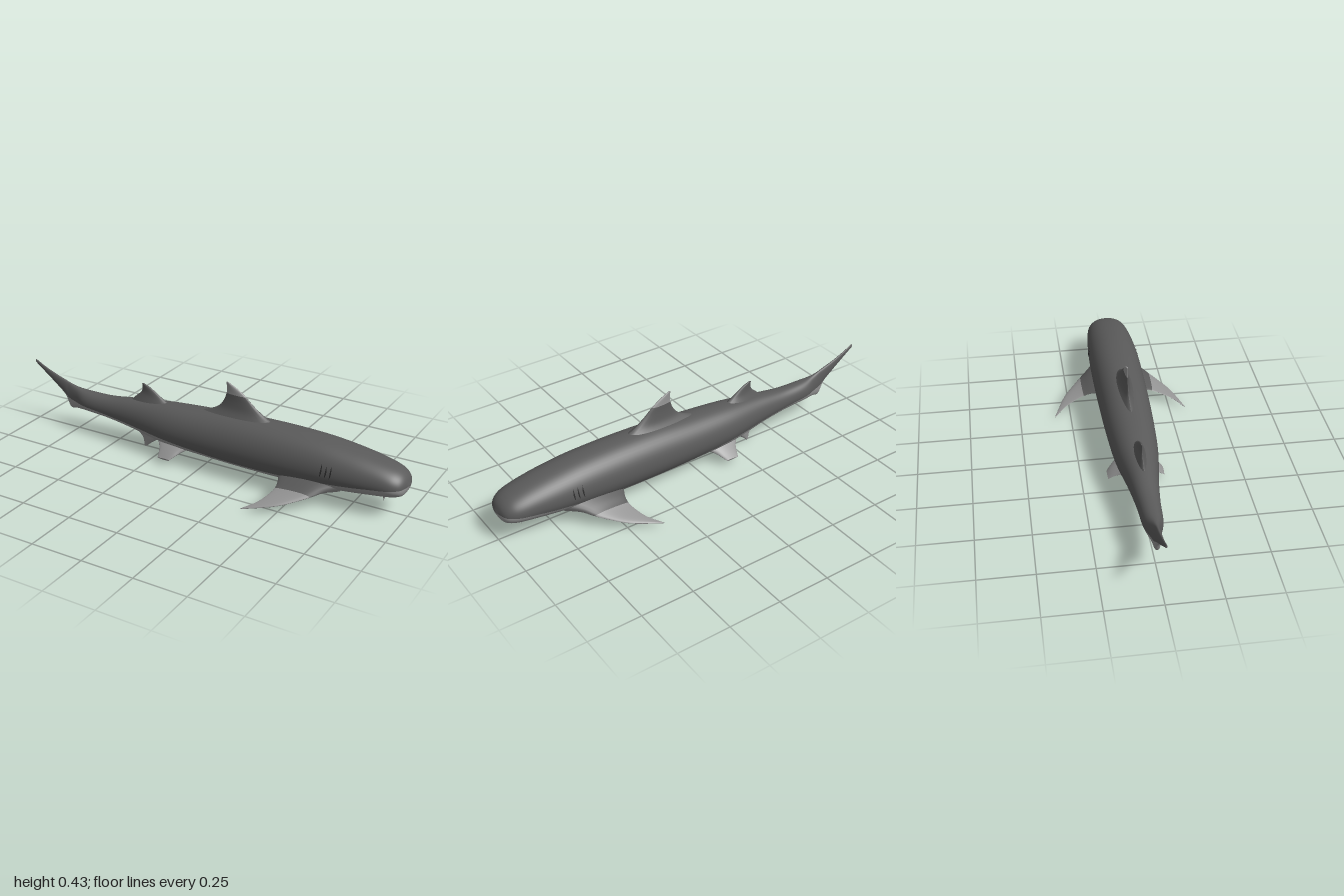
import * as THREE from 'three';

const paint = (name, color) => new THREE.MeshStandardMaterial({ name, color, side: THREE.DoubleSide });

// Catmull-Rom through rows of numbers, giving one interpolating function
function track(rows) {
  const groups = [];
  for (let i = 0; i < rows[0].length; i += 3) {
    groups.push(new THREE.CatmullRomCurve3(
      rows.map(r => new THREE.Vector3(r[i], r[i + 1] ?? 0, r[i + 2] ?? 0)), false, 'catmullrom', 0.5));
  }
  return u => groups.flatMap(c => c.getPoint(u).toArray());
}

// Skin a grid of points: f(i / nu, j / nv) returns [x, y, z]
function skin(name, material, nu, nv, f) {
  const pos = [], index = [];
  for (let i = 0; i <= nu; i++) for (let j = 0; j <= nv; j++) pos.push(...f(i / nu, j / nv));
  for (let i = 0; i < nu; i++) for (let j = 0; j < nv; j++) {
    const a = i * (nv + 1) + j, b = a + nv + 1;
    index.push(a, a + 1, b, a + 1, b + 1, b);
  }
  const g = new THREE.BufferGeometry();
  g.setAttribute('position', new THREE.Float32BufferAttribute(pos, 3));
  g.setIndex(index);
  g.computeVertexNormals();
  const mesh = new THREE.Mesh(g, material);
  mesh.name = name;
  return mesh;
}

// Body stations: x, top, bottom, half width, colour seam height
const body = track([
  [-1, 0.32, 0.305, 0.004, 0.306],
  [-0.94, 0.29, 0.26, 0.006, 0.263],
  [-0.88, 0.265, 0.215, 0.009, 0.22],
  [-0.82, 0.245, 0.165, 0.013, 0.18],
  [-0.79, 0.235, 0.108, 0.016, 0.16],
  [-0.75, 0.224, 0.11, 0.024, 0.152],
  [-0.68, 0.216, 0.114, 0.044, 0.147],
  [-0.55, 0.217, 0.108, 0.053, 0.137],
  [-0.4, 0.236, 0.09, 0.07, 0.125],
  [-0.2, 0.258, 0.062, 0.1, 0.11],
  [0, 0.272, 0.055, 0.114, 0.095],
  [0.2, 0.285, 0.05, 0.121, 0.086],
  [0.4, 0.288, 0.05, 0.125, 0.092],
  [0.6, 0.281, 0.058, 0.125, 0.11],
  [0.75, 0.263, 0.072, 0.119, 0.125],
  [0.85, 0.245, 0.084, 0.11, 0.138],
  [0.92, 0.227, 0.093, 0.1, 0.145],
  [0.96, 0.21, 0.1, 0.085, 0.149],
  [0.985, 0.188, 0.113, 0.06, 0.15],
  [1, 0.156, 0.15, 0.012, 0.152],
]);

// Point on the body surface at station u and angle a (0 = left side, PI/2 = top)
function bodyPoint(u, a, swell = 0) {
  const [x, top, bottom, w] = body(u);
  const mid = bottom + (top - bottom) * 0.45, s = Math.sin(a), c = Math.cos(a);
  const z = Math.sign(c) * Math.pow(Math.abs(c), s < 0 ? 0.75 : 0.9) * (w + swell);
  return [x, mid + s * ((s > 0 ? top - mid : mid - bottom) + swell), z];
}

// Angle on the section where the two body colours meet
function seamAngle(u) {
  const [, top, bottom, , seam] = body(u);
  const mid = bottom + (top - bottom) * 0.45, d = seam - mid;
  return Math.asin(THREE.MathUtils.clamp(d / (d > 0 ? top - mid : mid - bottom), -0.97, 0.97));
}

// Fin from stations [lead x, trail x, y, z, half thickness]; normal is the thickness direction
function fin(name, stations, normal, upper, lower, tip, split) {
  const at = track(stations), group = new THREE.Group();
  group.name = name;
  const point = (u, a) => {
    const [lx, tx, y, z, t] = at(Math.min(u, 1));
    const c = Math.cos(a), off = u > 1 ? 0 : Math.sin(a) * t * (0.75 + 0.25 * c);
    const x = (lx + tx) / 2 + (u > 1 ? 0 : c * (lx - tx) / 2);
    return [x, y + normal[1] * off, z + normal[2] * off];
  };
  const half = (part, mat, u0, u1, a0) => group.add(
    skin(part, mat, 14, 12, (i, j) => point(u0 + (u1 - u0) * i, a0 + Math.PI * j)));
  [[upper, 0, 'Upper'], [lower, Math.PI, 'Lower']].forEach(([mat, a0, side]) => {
    half(name + side, mat, 0, split, a0);
    if (split < 1) half(name + 'Tip' + side, tip, split, 1, a0);
    // closing cap at the tip
    group.add(skin(name + 'Cap' + side, tip, 1, 12, (i, j) => point(1 + i, a0 + Math.PI * j)));
  });
  return group;
}

export function createModel() {
  const model = new THREE.Group();
  model.name = 'shark';
  const dark = paint('backGrey', 0x5a5a5a);
  const light = paint('bellyGrey', 0x949494);
  const black = paint('gillGrey', 0x2c2c2c);

  // Body, split along the colour seam
  model.add(skin('back', dark, 140, 36, (u, v) => {
    const a = seamAngle(u);
    return bodyPoint(u, a + (Math.PI - 2 * a) * v);
  }));
  model.add(skin('belly', light, 140, 28, (u, v) => {
    const a = seamAngle(u);
    return bodyPoint(u, Math.PI - a + (Math.PI + 2 * a) * v);
  }));
  // Small closing plates at snout and tail end
  [0, 1].forEach(u => model.add(skin(u ? 'snoutTip' : 'tailTip', dark, 1, 24, (r, v) => {
    const [x, y, z] = bodyPoint(u, v * Math.PI * 2), [, top, bottom] = body(u);
    const mid = (top + bottom) / 2;
    return [x, mid + (y - mid) * r, z * r];
  })));

  // Fins on the centre line
  const sideways = [0, 0, 1], upward = [0, 0.93, 0.37];
  model.add(fin('dorsalFin', [
    [0.38, -0.04, 0.262, 0, 0.062], [0.30, 0.05, 0.302, 0, 0.03], [0.245, 0.085, 0.34, 0, 0.017],
    [0.20, 0.1, 0.38, 0, 0.011], [0.16, 0.102, 0.408, 0, 0.008], [0.11, 0.098, 0.434, 0, 0.004],
  ], sideways, dark, dark, light, 0.6));
  model.add(fin('rearDorsalFin', [
    [-0.17, -0.43, 0.225, 0, 0.045], [-0.235, -0.39, 0.262, 0, 0.022],
    [-0.27, -0.365, 0.285, 0, 0.013], [-0.31, -0.36, 0.311, 0, 0.008], [-0.348, -0.361, 0.327, 0, 0.004],
  ], sideways, dark, dark, dark, 1));
  model.add(fin('analFin', [
    [-0.19, -0.43, 0.105, 0, 0.035], [-0.245, -0.39, 0.07, 0, 0.02],
    [-0.285, -0.365, 0.045, 0, 0.015], [-0.32, -0.358, 0.02, 0, 0.009], [-0.342, -0.357, 0, 0, 0.006],
  ], sideways, light, light, light, 1));

  // Paired parts, mirrored across the centre line
  for (const side of [1, -1]) {
    const half = new THREE.Group();
    half.name = side > 0 ? 'nearSideParts' : 'farSideParts';
    half.scale.z = side;
    half.add(fin('pectoralFin', [
      [0.72, 0.41, 0.092, 0.085, 0.045], [0.66, 0.437, 0.083, 0.13, 0.026],
      [0.62, 0.445, 0.068, 0.17, 0.016], [0.575, 0.437, 0.054, 0.21, 0.011],
      [0.495, 0.41, 0.034, 0.27, 0.007], [0.366, 0.356, 0.012, 0.326, 0.003],
    ], upward, dark, light, light, 0.42));
    half.add(fin('pelvicFin', [
      [-0.06, -0.24, 0.082, 0.055, 0.022], [-0.095, -0.215, 0.063, 0.085, 0.017],
      [-0.115, -0.203, 0.046, 0.11, 0.011], [-0.133, -0.197, 0.03, 0.13, 0.006],
    ], upward, light, light, light, 1));

    // Gill slits laid on the flank
    for (let k = 0; k < 3; k++) {
      half.add(skin('gillSlit', black, 2, 8, (i, j) => {
        const u = 0.694 + k * 0.0075 + 0.0022 * i * Math.sin(Math.PI * j) + 0.002 * j;
        return bodyPoint(u, -0.12 + 0.55 * j, 0.002);
      }));
    }

    // Barbel under the snout
    const barbel = new THREE.Mesh(new THREE.ConeGeometry(0.009, 0.04, 10), light);
    barbel.name = 'barbel';
    barbel.position.set(0.9, 0.085, 0.035);
    barbel.rotation.x = Math.PI;
    half.add(barbel);
    model.add(half);
  }
  return model;
}
